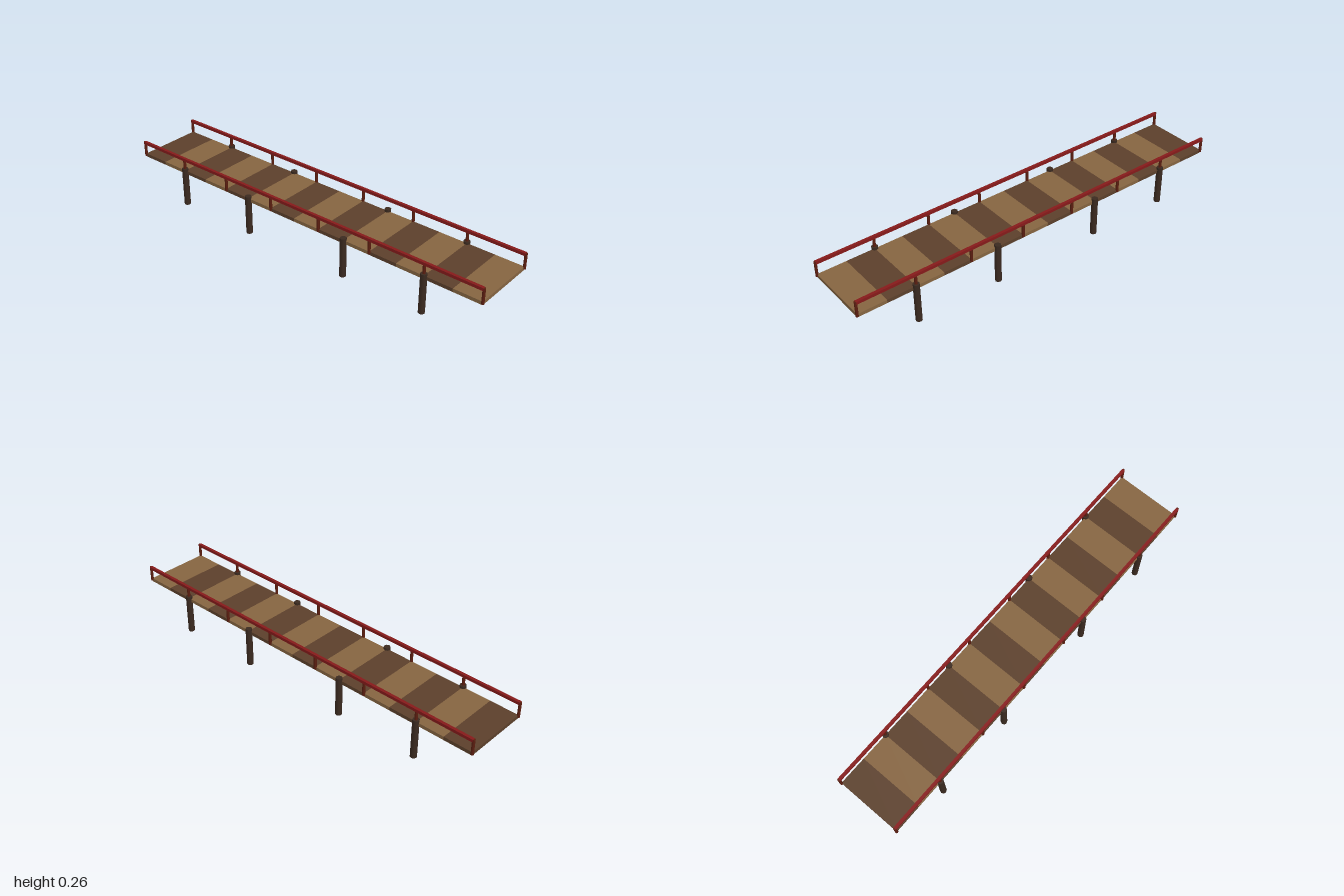
import * as THREE from 'three';

const mat = (name, color, flatShading = false) => {
  const m = new THREE.MeshStandardMaterial({ color, flatShading });
  m.name = name;
  return m;
};

export function createModel() {
  const bridge = new THREE.Group();
  bridge.name = 'footbridge';
  const darkWood = mat('darkWood', 0x5c402b);
  const lightWood = mat('lightWood', 0x866541);
  const pileWood = mat('pileWood', 0x3b2a20);
  const railRed = mat('railRed', 0x861a1a);
  const postRed = mat('postRed', 0x5c1e10);

  const add = (name, geometry, material, x, y, z) => {
    const mesh = new THREE.Mesh(geometry, material);
    mesh.name = name;
    mesh.position.set(x, y, z);
    bridge.add(mesh);
  };

  const length = 1.986, sideZ = 0.163;

  // Deck of alternating planks
  const count = 14, plankW = length / count;
  const plank = new THREE.BoxGeometry(plankW, 0.017, sideZ * 2);
  for (let i = 0; i < count; i++) {
    add('plank', plank, i % 2 ? lightWood : darkWood, -length / 2 + (i + 0.5) * plankW, 0.1785, 0);
  }

  const pile = new THREE.CylinderGeometry(0.0156, 0.0156, 0.199, 8);
  const post = new THREE.CylinderGeometry(0.0071, 0.0071, 0.078, 8);
  const rail = new THREE.BoxGeometry(length, 0.014, 0.0142);
  for (const side of [1, -1]) {
    const z = side * sideZ;
    // Piles under the deck edges
    for (const x of [-0.709, -0.284, 0.284, 0.709]) add('pile', pile, pileWood, x, 0.0995, z);
    // Handrail on eight posts
    for (let i = 0; i < 8; i++) {
      add('railPost', post, postRed, -length / 2 + (i * length) / 7, 0.2155, z);
    }
    add('handrail', rail, railRed, 0, 0.2485, z);
  }
  return bridge;
}
